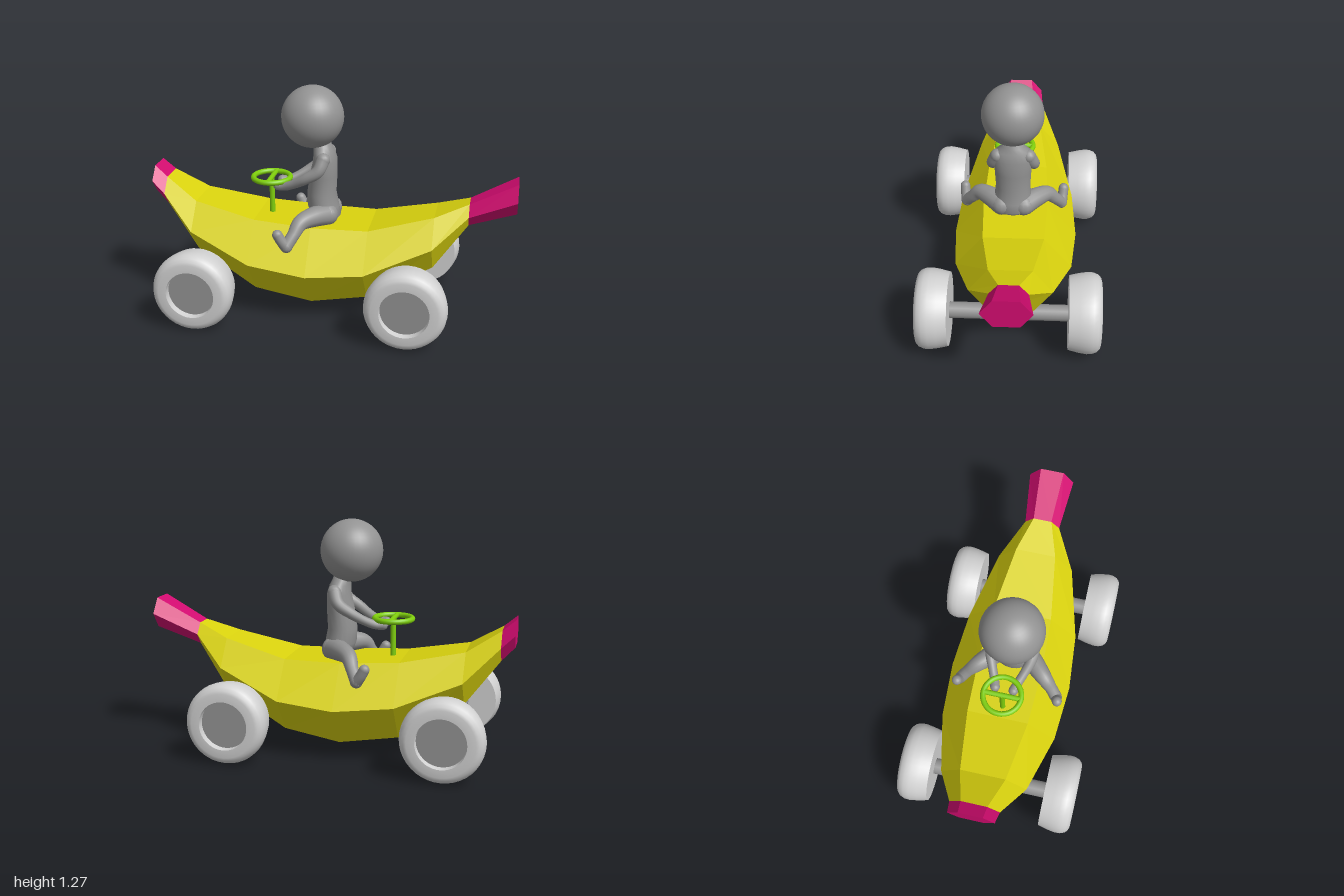
import * as THREE from 'three';
import { toCreasedNormals } from 'three/addons/utils/BufferGeometryUtils.js';

const mat = (name, color, extra = {}) => {
  const m = new THREE.MeshStandardMaterial({ color, ...extra });
  m.name = name;
  return m;
};

// Skin a closed surface over a list of rings with equal point counts
function loft(rings) {
  const n = rings[0].length, idx = [], last = (rings.length - 1) * n;
  for (let i = 0; i < rings.length - 1; i++) {
    for (let k = 0; k < n; k++) {
      const a = i * n + k, c = i * n + (k + 1) % n;
      idx.push(a, c, a + n, c, c + n, a + n);
    }
  }
  for (let k = 1; k < n - 1; k++) {
    idx.push(0, k + 1, k, last, last + k, last + k + 1);
  }
  const g = new THREE.BufferGeometry();
  g.setAttribute('position', new THREE.Float32BufferAttribute(rings.flat(2), 3));
  g.setIndex(idx);
  g.computeVertexNormals();
  return g;
}

// Hexagonal fruit section: [x, top, bottom, half width]
const hexRing = ([x, top, bot, w]) => {
  const m = (top + bot) / 2, h = w * 0.52, o = -0.013;
  return [[x, top, o + h], [x, m, o + w], [x, bot, o + h], [x, bot, o - h], [x, m, o - w], [x, top, o - h]];
};

// Tapered tube through points [x, y, z, radius]
function limb(points) {
  const curve = new THREE.CatmullRomCurve3(points.map(p => new THREE.Vector3(p[0], p[1], p[2])));
  const n = 28, sides = 14;
  const g = new THREE.TubeGeometry(curve, n, 1, sides);
  const pos = g.attributes.position, v = new THREE.Vector3();
  for (let i = 0; i <= n; i++) {
    const c = curve.getPointAt(i / n);
    const t = curve.getUtoTmapping(i / n) * (points.length - 1);
    const k = Math.min(Math.floor(t), points.length - 2);
    const r = THREE.MathUtils.lerp(points[k][3], points[k + 1][3], t - k);
    for (let j = 0; j <= sides; j++) {
      const q = i * (sides + 1) + j;
      v.fromBufferAttribute(pos, q).sub(c).multiplyScalar(r).add(c);
      pos.setXYZ(q, v.x, v.y, v.z);
    }
  }
  return g;
}

export function createModel() {
  const model = new THREE.Group();
  model.name = 'fruitCart';
  const yellow = mat('banana yellow', 0xdad30e, { flatShading: true });
  const magenta = mat('tip magenta', 0xd20c70, { flatShading: true });
  const green = mat('steering green', 0x7fcf0c);
  const pale = mat('wheel pale grey', 0xd2d2d2);
  const grey = mat('mid grey', 0x939393);

  const add = (name, geometry, material, x = 0, y = 0, z = 0, parent = model) => {
    const mesh = new THREE.Mesh(geometry, material);
    mesh.name = name;
    mesh.position.set(x, y, z);
    parent.add(mesh);
    return mesh;
  };

  // Body and its two coloured tips
  const sections = [
    [-1, 0.785, 0.64, 0.125], [-0.93, 0.725, 0.565, 0.135], [-0.75, 0.612, 0.33, 0.237],
    [-0.41, 0.545, 0.135, 0.325], [-0.09, 0.525, 0.085, 0.347], [0.22, 0.525, 0.135, 0.32],
    [0.57, 0.61, 0.32, 0.22], [0.75, 0.677, 0.558, 0.1], [1, 0.81, 0.645, 0.127],
  ].map(hexRing);
  add('bananaBody', loft(sections.slice(1, 8)), yellow);
  add('frontTip', loft(sections.slice(0, 2)), magenta);
  add('stalk', loft(sections.slice(7)), magenta);

  // Wheels with recessed hubs, and axles
  const profile = [
    [0, 0.32], [0.2, 0.32], [0.213, 0.375], [0.22, 0.42], [0.218, 0.45], [0.208, 0.475],
    [0.192, 0.49], [0.175, 0.495], [0.132, 0.495], [0.13, 0.455],
  ].map(p => new THREE.Vector2(...p));
  const tyre = toCreasedNormals(new THREE.LatheGeometry(profile, 40), 0.6);
  const hub = new THREE.CircleGeometry(0.132, 40);
  for (const x of [-0.68, 0.465]) {
    const axle = add('axle', new THREE.CylinderGeometry(0.045, 0.045, 0.66, 20), grey, x, 0.216, 0);
    axle.rotation.x = Math.PI / 2;
    for (const s of [1, -1]) {
      const wheel = new THREE.Group();
      wheel.name = 'wheel';
      wheel.position.set(x, 0.223, 0);
      wheel.rotation.y = s > 0 ? 0 : Math.PI;
      add('tyre', tyre, pale, 0, 0, 0, wheel).rotation.x = Math.PI / 2;
      add('hub', hub, grey, 0, 0, 0.457, wheel);
      model.add(wheel);
    }
  }

  // Steering wheel
  const ring = add('steeringRing', new THREE.TorusGeometry(0.102, 0.015, 10, 36), green, -0.342, 0.744, 0);
  ring.rotation.x = Math.PI / 2;
  const bar = add('steeringBar', new THREE.CylinderGeometry(0.014, 0.014, 0.2, 10), green, -0.342, 0.744, 0);
  bar.rotation.x = Math.PI / 2;
  add('steeringPost', new THREE.CylinderGeometry(0.015, 0.015, 0.25, 12), green, -0.342, 0.62, 0);

  // Driver
  const driver = new THREE.Group();
  driver.name = 'driver';
  model.add(driver);
  add('head', new THREE.SphereGeometry(0.169, 36, 24), grey, -0.108, 1.105, 0.004, driver);

  // Torso sections: [y, x, depth, half width]
  const torso = [
    [0.52, -0.03, 0.05, 0.07], [0.55, -0.035, 0.08, 0.105], [0.6, -0.05, 0.085, 0.105], [0.68, -0.06, 0.08, 0.095],
    [0.78, -0.05, 0.075, 0.1], [0.87, -0.04, 0.064, 0.108], [0.92, -0.047, 0.056, 0.095],
    [0.945, -0.053, 0.05, 0.058], [0.99, -0.065, 0.045, 0.045],
  ].map(([y, x, d, w]) => Array.from({ length: 20 }, (_, k) => {
    const a = k / 20 * Math.PI * 2;
    return [x + d * Math.cos(a), y, -w * Math.sin(a)];
  }));
  add('torso', loft(torso), grey, 0, 0, 0, driver);

  // Arms reach the steering wheel, legs straddle the body
  const arm = [[-0.035, 0.89, 0.085, 0.038], [-0.06, 0.83, 0.11, 0.034], [-0.125, 0.785, 0.112, 0.029],
    [-0.2, 0.74, 0.085, 0.024], [-0.26, 0.715, 0.06, 0.024], [-0.295, 0.714, 0.05, 0.026]];
  const leg = [[-0.02, 0.57, 0.06, 0.062], [-0.085, 0.575, 0.13, 0.055], [-0.14, 0.56, 0.19, 0.044],
    [-0.17, 0.505, 0.235, 0.034], [-0.2, 0.455, 0.272, 0.034]];
  const foot = [[-0.2, 0.452, 0.272, 0.034], [-0.225, 0.485, 0.28, 0.029], [-0.245, 0.522, 0.284, 0.028]];
  for (const s of [1, -1]) {
    for (const [name, pts] of [['arm', arm], ['leg', leg], ['foot', foot]]) {
      const path = pts.map(([x, y, z, r]) => [x, y, z * s, r]);
      add(name, limb(path), grey, 0, 0, 0, driver);
      // Rounded ends
      for (const [x, y, z, r] of [path[0], path[path.length - 1]]) {
        add(name + 'End', new THREE.SphereGeometry(r, 14, 10), grey, x, y, z, driver);
      }
    }
  }
  return model;
}
